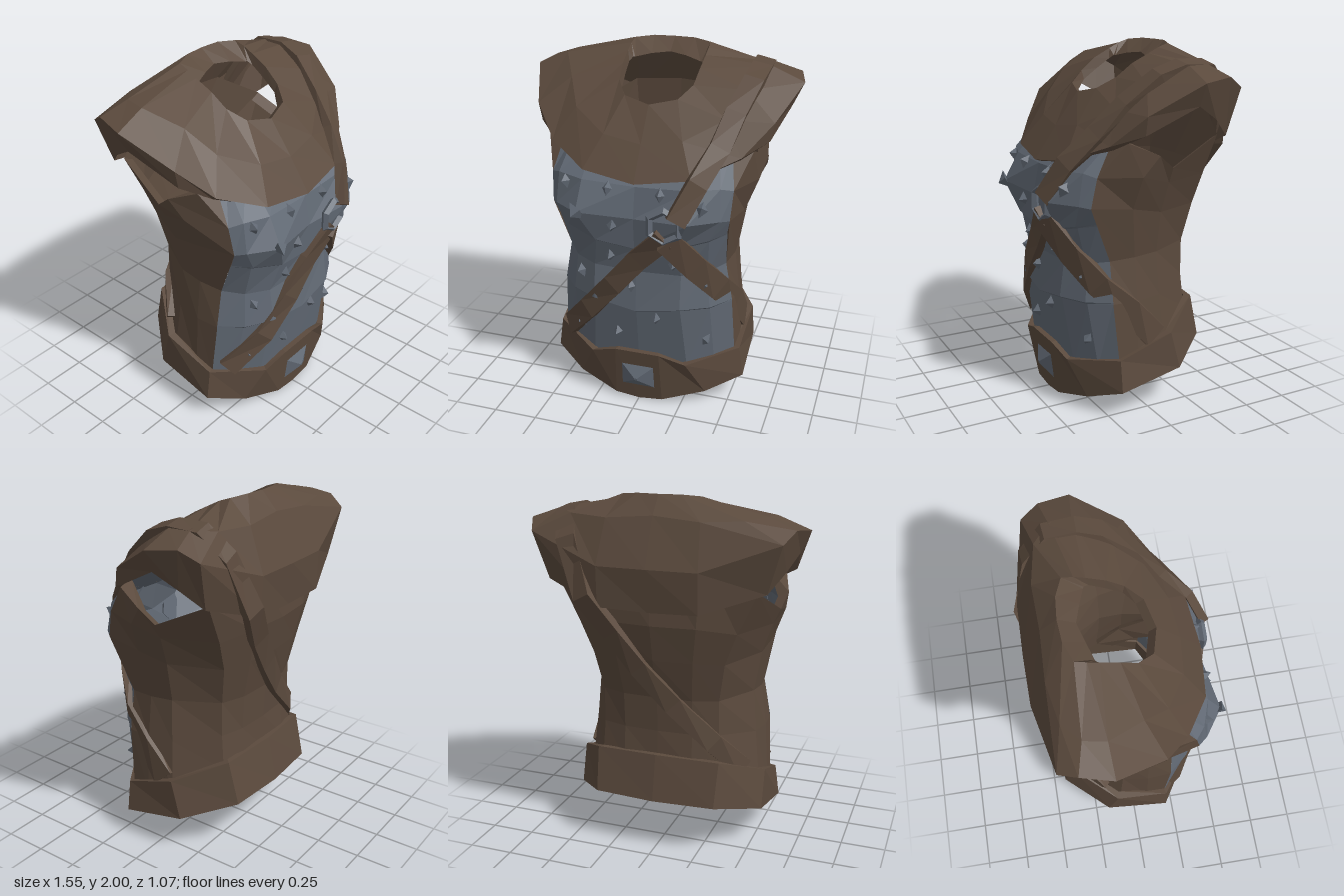
import * as THREE from 'three';

const leather = new THREE.MeshStandardMaterial({ color: 0x5b4a3d, side: THREE.DoubleSide });
leather.name = 'leather';
const steel = new THREE.MeshStandardMaterial({ color: 0x626a75, side: THREE.DoubleSide });
steel.name = 'steel';

// Faceted normals
function facet(geo) {
  const g = geo.index ? geo.toNonIndexed() : geo;
  g.computeVertexNormals();
  return g;
}

// Skin a list of rows of points
function loft(rows) {
  const n = rows[0].length, index = [];
  for (let r = 0; r < rows.length - 1; r++) {
    for (let c = 0; c < n - 1; c++) {
      const a = r * n + c, b = a + 1, d = a + n, e = d + 1;
      index.push(a, b, e, a, e, d);
    }
  }
  const g = new THREE.BufferGeometry();
  g.setAttribute('position', new THREE.Float32BufferAttribute(rows.flat(2), 3));
  g.setIndex(index);
  return facet(g);
}

// Complete a half row that starts on the centre line
const mirror = (row) => [...row.slice(1).reverse().map(([x, y, z]) => [-x, y, z]), ...row];

function part(name, geo, mat) {
  const m = new THREE.Mesh(geo, mat);
  m.name = name;
  return m;
}

// Flat band following a path and lying on the body
function strap(name, path, width) {
  const pts = path.map((p) => new THREE.Vector3(...p));
  const rows = pts.map((p, i) => {
    const t = pts[Math.min(i + 1, pts.length - 1)].clone().sub(pts[Math.max(i - 1, 0)]).normalize();
    const k = 0.4 + 0.4 * THREE.MathUtils.smoothstep(p.y, 1.3, 1.8);
    const n = new THREE.Vector3(p.x * (1 - k), Math.max(p.y - 1.35, 0), p.z);
    n.addScaledVector(t, -n.dot(t)).normalize();
    const s = t.clone().cross(n);
    return [[-1, -0.035], [-1, 0.015], [1, 0.015], [1, -0.035], [-1, -0.035]].map(([u, v]) =>
      p.clone().addScaledVector(s, u * width / 2).addScaledVector(n, v).toArray());
  });
  // close both ends
  const cap = (row) => {
    const c = [0, 1, 2].map((k) => (row[0][k] + row[2][k]) / 2);
    return row.map(() => c);
  };
  return part(name, loft([cap(rows[0]), ...rows, cap(rows[rows.length - 1])]), leather);
}

export function createModel() {
  const group = new THREE.Group();

  // Front armour with shallow overlapping ledges, half rows from centre to side
  const plate = part('frontPlate', loft([
    [[0, 0.25, 0.37], [0.28, 0.25, 0.35], [0.42, 0.27, 0.27], [0.52, 0.3, 0.19]],
    [[0, 0.6, 0.415], [0.25, 0.64, 0.405], [0.4, 0.64, 0.325], [0.5, 0.65, 0.22]],
    [[0, 0.61, 0.43], [0.25, 0.65, 0.418], [0.4, 0.65, 0.335], [0.5, 0.66, 0.22]],
    [[0, 0.85, 0.41], [0.25, 0.85, 0.39], [0.38, 0.86, 0.32], [0.46, 0.88, 0.22]],
    [[0, 0.99, 0.425], [0.22, 1.02, 0.435], [0.4, 1.07, 0.38], [0.48, 1.09, 0.305]],
    [[0, 1.0, 0.44], [0.22, 1.03, 0.45], [0.4, 1.08, 0.392], [0.48, 1.1, 0.31]],
    [[0, 1.18, 0.455], [0.31, 1.2, 0.505], [0.46, 1.2, 0.4], [0.5, 1.19, 0.35]],
    [[0, 1.35, 0.42], [0.3, 1.36, 0.42], [0.45, 1.37, 0.37], [0.51, 1.35, 0.32]],
    [[0, 1.55, 0.24], [0.28, 1.55, 0.24], [0.41, 1.55, 0.22], [0.47, 1.55, 0.2]],
  ].map(mirror)), steel);
  group.add(plate);

  // Sides and back, half rows from the spine round to the plate edge
  const sides = [
    [[0, 0.5, -0.36], [0.2, 0.5, -0.36], [0.35, 0.5, -0.32], [0.52, 0.38, -0.09], [0.53, 0.3, 0.08], [0.52, 0.3, 0.19]],
    [[0, 0.7, -0.35], [0.2, 0.7, -0.34], [0.34, 0.7, -0.3], [0.49, 0.66, -0.07], [0.51, 0.65, 0.08], [0.5, 0.65, 0.22]],
    [[0, 0.9, -0.36], [0.2, 0.9, -0.35], [0.34, 0.9, -0.3], [0.47, 0.9, -0.06], [0.48, 0.89, 0.08], [0.46, 0.88, 0.22]],
    [[0, 1.13, -0.42], [0.22, 1.13, -0.4], [0.38, 1.12, -0.34], [0.51, 1.13, -0.06], [0.53, 1.17, 0.12], [0.5, 1.19, 0.35]],
    [[0, 1.33, -0.46], [0.25, 1.33, -0.44], [0.45, 1.3, -0.36], [0.57, 1.3, -0.07], [0.6, 1.35, 0.1], [0.51, 1.35, 0.32]],
    [[0, 1.72, -0.45], [0.28, 1.7, -0.45], [0.56, 1.53, -0.37], [0.61, 1.385, -0.07], [0.63, 1.46, 0.02], [0.58, 1.53, 0.18]],
  ];
  group.add(part('sidesAndBack', loft(sides.map(mirror)), leather));

  // Turned-in armhole edges joining the sides to the plate
  for (const s of [-1, 1]) {
    const edge = sides[5].slice(2);
    const lip = edge.map(([x, y, z]) => [s * (x - 0.06), y - 0.03, z]);
    lip[3] = [s * 0.47, 1.55, 0.2];
    group.add(part('armholeEdge', loft([edge.map(([x, y, z]) => [s * x, y, z]), lip]), leather));
    group.add(part('armholeFront', loft([
      [[s * 0.58, 1.53, 0.18], [s * 0.51, 1.35, 0.32]],
      [[s * 0.47, 1.55, 0.2], [s * 0.51, 1.35, 0.32]],
    ]), leather));
  }

  // Shoulder mantle: collar inside, collar, middle, outer edge, under edge
  group.add(part('shoulderMantle', loft([
    [[0, 1.69, 0.14], [0.15, 1.72, 0.1], [0.2, 1.77, 0.04], [0.21, 1.83, -0.05],
      [0.215, 1.88, -0.13], [0.2, 1.9, -0.155], [0.19, 1.9, -0.16], [0.1, 1.92, -0.19], [0, 1.93, -0.22]],
    [[0, 1.73, 0.18], [0.15, 1.76, 0.14], [0.21, 1.82, 0.05], [0.22, 1.89, -0.04],
      [0.225, 1.94, -0.14], [0.225, 1.97, -0.2], [0.22, 1.99, -0.26], [0.12, 2.0, -0.3], [0, 2.0, -0.31]],
    [[0, 1.55, 0.315], [0.22, 1.58, 0.29], [0.42, 1.68, 0.17], [0.5, 1.81, 0.03],
      [0.6, 1.9, -0.16], [0.58, 1.905, -0.28], [0.48, 1.89, -0.37], [0.26, 1.88, -0.41], [0, 1.9, -0.4]],
    [[0, 1.37, 0.44], [0.3, 1.41, 0.405], [0.53, 1.51, 0.26], [0.67, 1.67, 0.12],
      [0.775, 1.83, -0.15], [0.735, 1.85, -0.32], [0.69, 1.79, -0.42], [0.28, 1.64, -0.505], [0, 1.64, -0.51]],
    [[0, 1.36, 0.41], [0.28, 1.4, 0.38], [0.52, 1.49, 0.23], [0.65, 1.57, 0.12],
      [0.72, 1.71, -0.15], [0.68, 1.63, -0.28], [0.61, 1.53, -0.39], [0.28, 1.42, -0.5], [0, 1.41, -0.49]],
  ].map(mirror)), leather));

  // Belt, front to back, with turned-in edges
  const beltLow = [[0, 0.005, 0.385], [0.14, 0.02, 0.385], [0.38, 0.085, 0.32], [0.575, 0.16, 0.2],
    [0.56, 0.23, -0.17], [0.35, 0.31, -0.42], [0, 0.31, -0.445]];
  const beltTop = [[0, 0.335, 0.42], [0.13, 0.335, 0.42], [0.28, 0.285, 0.395], [0.55, 0.34, 0.2],
    [0.56, 0.45, -0.11], [0.36, 0.56, -0.36], [0, 0.57, -0.39]];
  const inset = (row) => row.map(([x, y, z]) => [x * 0.92, y, z * 0.92]);
  const belt = [inset(beltTop), beltTop, beltLow, inset(beltLow), inset(beltTop)];
  group.add(part('belt', loft(belt.map(mirror)), leather));

  // Belt buckle: low pyramid
  const pyramid = new THREE.CylinderGeometry(0.012, 0.155, 0.05, 4).rotateY(Math.PI / 4).rotateX(Math.PI / 2);
  const buckle = part('beltBuckle', facet(pyramid), steel);
  buckle.scale.set(1, 0.75, 1);
  buckle.position.set(0, 0.17, 0.42);
  buckle.rotation.x = 0.1;
  group.add(buckle);

  // Straps meeting at the chest ring
  group.add(strap('shoulderStrap', [[0.25, 1.21, 0.51], [0.34, 1.4, 0.42], [0.42, 1.56, 0.285],
    [0.47, 1.72, 0.15], [0.525, 1.86, -0.02], [0.54, 1.905, -0.15], [0.53, 1.9, -0.31], [0.48, 1.77, -0.435],
    [0.36, 1.47, -0.51], [0.22, 1.27, -0.455], [0.08, 1.08, -0.42], [-0.1, 0.87, -0.37],
    [-0.32, 0.66, -0.325], [-0.46, 0.48, -0.2]], 0.11));
  group.add(strap('rightFrontStrap', [[0.18, 1.1, 0.485], [0.02, 0.94, 0.45], [-0.13, 0.76, 0.435],
    [-0.3, 0.56, 0.39], [-0.47, 0.36, 0.265]], 0.12));
  group.add(strap('leftFrontStrap', [[0.2, 1.09, 0.485], [0.33, 0.91, 0.39], [0.44, 0.75, 0.275],
    [0.5, 0.6, 0.12], [0.52, 0.43, -0.03]], 0.14));

  // Six-sided chest ring
  const ring = part('chestRing', facet(new THREE.TorusGeometry(0.09, 0.022, 4, 6)), steel);
  ring.position.set(0.18, 1.17, 0.485);
  ring.rotation.set(0, 0.05, Math.PI / 6);
  group.add(ring);

  // Upright diamond studs seated on the front plate
  const studGeo = facet(new THREE.ConeGeometry(0.038, 0.055, 4).scale(1, 1, 1.5));
  const up = new THREE.Vector3(0, 1, 0);
  const ray = new THREE.Raycaster();
  plate.updateMatrixWorld();
  const studs = [[-0.15, 1.33], [-0.31, 1.2], [-0.12, 1.13], [-0.4, 1.33], [0.14, 1.32], [0.37, 1.28],
    [-0.15, 0.93], [-0.34, 0.78], [-0.03, 0.76], [0.21, 0.92], [0.37, 0.79], [-0.12, 0.44],
    [-0.36, 0.44], [0.11, 0.57], [0.38, 0.43]];
  for (const [x, y] of studs) {
    ray.set(new THREE.Vector3(x, y, 2), new THREE.Vector3(0, 0, -1));
    const hit = ray.intersectObject(plate)[0];
    if (!hit) continue;
    const n = hit.face.normal.clone();
    if (n.z < 0) n.negate();
    const stud = part('stud', studGeo, steel);
    stud.position.copy(hit.point).addScaledVector(n, 0.012);
    stud.quaternion.setFromUnitVectors(up, n);
    group.add(stud);
  }

  return group;
}
